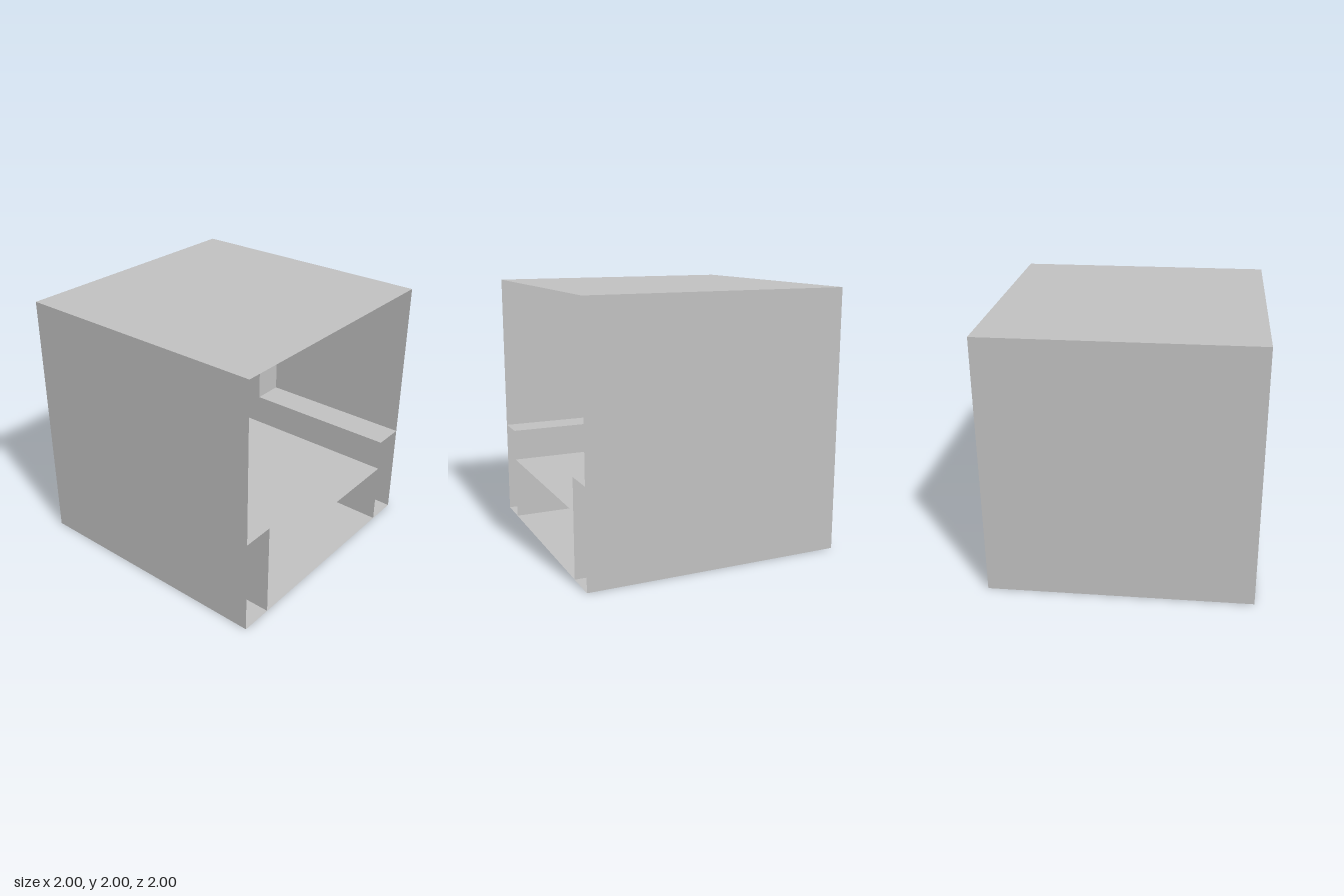
import * as THREE from 'three';

export function createModel() {
  const model = new THREE.Group();
  const grey = new THREE.MeshStandardMaterial({ color: 0xc0c0c0, side: THREE.DoubleSide });
  grey.name = 'plain grey';

  // Open sheet of size w x h, centred at a point and turned to face an axis
  const turns = {
    front: [0, 0, 0], back: [0, Math.PI, 0],
    left: [0, Math.PI / 2, 0], right: [0, -Math.PI / 2, 0],
    up: [-Math.PI / 2, 0, 0], down: [Math.PI / 2, 0, 0],
  };
  function sheet(parent, name, facing, w, h, x, y, z) {
    const mesh = new THREE.Mesh(new THREE.PlaneGeometry(w, h), grey);
    mesh.name = name;
    mesh.rotation.set(...turns[facing]);
    mesh.position.set(x, y, z);
    parent.add(mesh);
  }

  // Cube shell, open at the front
  const shell = new THREE.Group();
  shell.name = 'cubeShell';
  sheet(shell, 'roof', 'up', 2, 2, 0, 2, 0);
  sheet(shell, 'floor', 'down', 2, 2, 0, 0, 0);
  sheet(shell, 'backWall', 'back', 2, 2, 0, 1, -1);
  sheet(shell, 'leftWall', 'left', 2, 2, 1, 1, 0);
  sheet(shell, 'rightWall', 'right', 2, 2, -1, 1, 0);
  model.add(shell);

  // Seat and backrest between the arms
  const seat = new THREE.Group();
  seat.name = 'seat';
  sheet(seat, 'seatPanel', 'up', 1.5, 1.5, 0, 0.5, 0.25);
  sheet(seat, 'backrest', 'front', 1.5, 2, 0, 1, -0.5);
  model.add(seat);

  // Hollow arms with full-height wings behind them
  for (const s of [1, -1]) {
    const arm = new THREE.Group();
    arm.name = s > 0 ? 'leftArm' : 'rightArm';
    const inward = s > 0 ? 'right' : 'left';
    sheet(arm, 'armTop', 'up', 0.25, 1.25, s * 0.875, 0.75, 0.375);
    sheet(arm, 'armInnerSide', inward, 1.25, 0.75, s * 0.75, 0.375, 0.375);
    sheet(arm, 'wingFront', 'front', 0.25, 2, s * 0.875, 1, -0.25);
    sheet(arm, 'wingInnerSide', inward, 0.75, 2, s * 0.75, 1, -0.625);
    model.add(arm);
  }
  return model;
}
